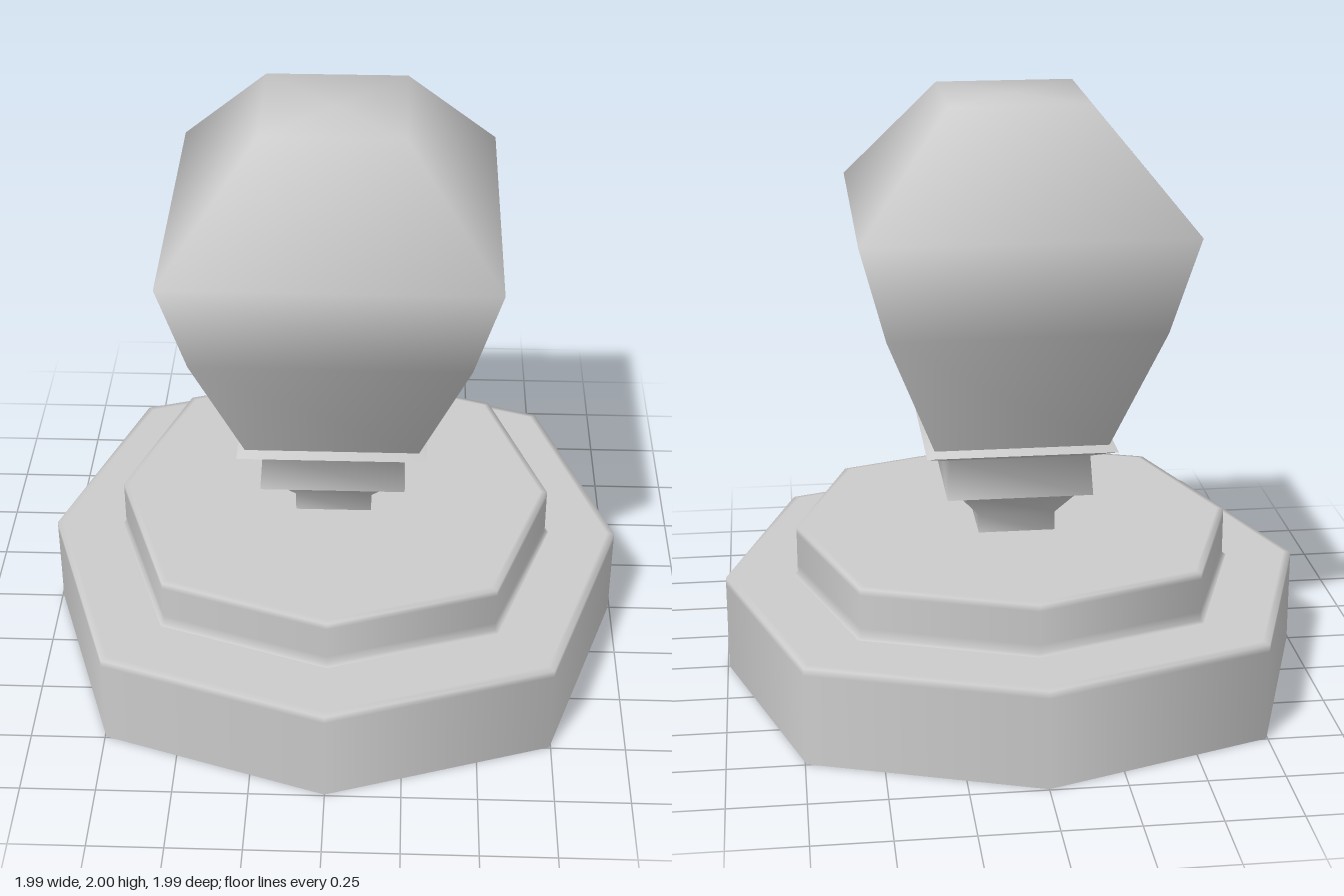
import * as THREE from 'three';

const material = new THREE.MeshStandardMaterial({ color: 0xcccccc, side: THREE.DoubleSide });

function mesh(name, geometry) {
  const m = new THREE.Mesh(geometry, material);
  m.name = name;
  return m;
}

// Square turned part: profile gives [half width, height], bottom to top
function squareTurning(name, profile) {
  const pts = profile.map(([w, y]) => new THREE.Vector2(w * Math.SQRT2, y));
  return mesh(name, new THREE.LatheGeometry(pts, 4, Math.PI / 4));
}

// Eight-sided part whose diagonal corners are pushed out by a factor
function octagonTurning(name, profile, diagonal) {
  const pts = profile.map(([r, y]) => new THREE.Vector2(r, y));
  const geometry = new THREE.LatheGeometry(pts, 8);
  const pos = geometry.attributes.position;
  for (let i = 0; i < pos.count; i++) {
    const column = Math.floor(i / pts.length);
    if (column % 2 === 1) pos.setXYZ(i, pos.getX(i) * diagonal, pos.getY(i), pos.getZ(i) * diagonal);
  }
  return mesh(name, geometry);
}

export function createModel() {
  const group = new THREE.Group();
  group.name = 'pedestalFinial';

  // Two-tier octagonal base, with tight loops that soften the rims
  group.add(octagonTurning('baseUnderside', [[0, 0], [0.995, 0]], 1.06));
  group.add(octagonTurning('lowerBase', [
    [0.995, 0], [0.995, 0.31], [0.995, 0.335], [0.97, 0.338], [0, 0.338],
  ], 1.06));
  group.add(octagonTurning('upperBase', [
    [0.76, 0.338], [0.747, 0.345], [0.747, 0.375], [0.747, 0.49], [0.747, 0.512], [0.725, 0.515], [0, 0.515],
  ], 1.052));

  // Square stem flaring into a banded neck
  group.add(squareTurning('stem', [[0.13, 0.5], [0.13, 0.58], [0.205, 0.68]]));
  group.add(squareTurning('neckUnderside', [[0.2, 0.68], [0.245, 0.68]]));
  group.add(squareTurning('neckBand', [[0.245, 0.68], [0.235, 0.817], [0.317, 0.855]]));
  group.add(squareTurning('collar', [[0.317, 0.855], [0.29, 0.873]]));

  // Tapered square head with chamfered top
  group.add(squareTurning('head', [
    [0.29, 0.873], [0.45, 1.3], [0.535, 1.63], [0.23, 2], [0, 2],
  ]));

  return group;
}
